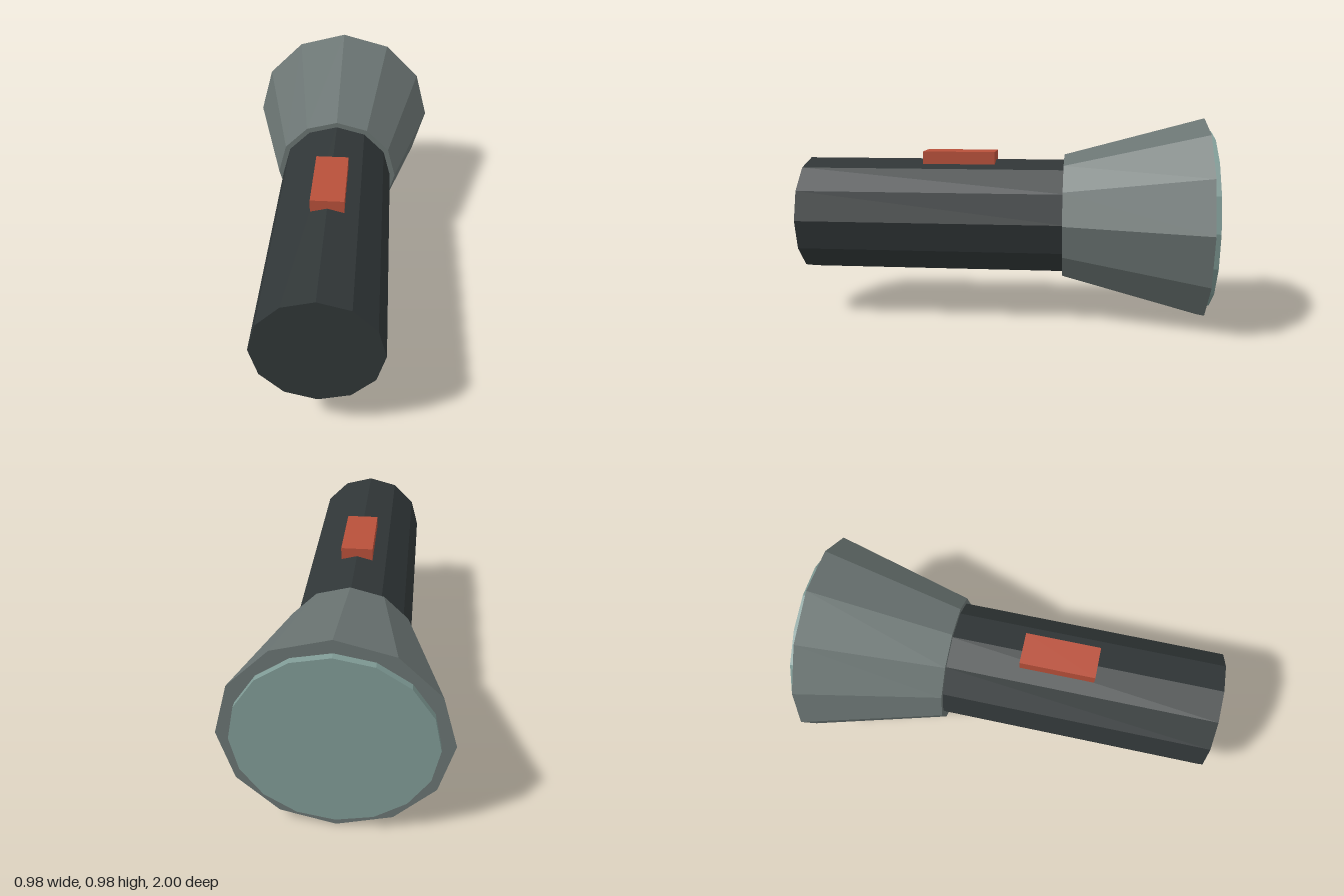
import * as THREE from 'three';

const AXIS_Y = 0.491;

function mat(color) {
  return new THREE.MeshStandardMaterial({ color, flatShading: true });
}

// Prism or cone frustum lying along z, from zFront (towards +z) to zBack
function barrel(name, rFront, rBack, zFront, zBack, sides, color) {
  const geometry = new THREE.CylinderGeometry(rBack, rFront, zFront - zBack, sides);
  geometry.rotateX(-Math.PI / 2);
  const mesh = new THREE.Mesh(geometry, mat(color));
  mesh.name = name;
  mesh.position.set(0, AXIS_Y, (zFront + zBack) / 2);
  return mesh;
}

export function createModel() {
  const group = new THREE.Group();
  group.name = 'flashlight';

  // Handle, flared head and lens share one axis
  group.add(barrel('handle', 0.284, 0.284, 1, -0.32, 12, 0x303637));
  group.add(barrel('head', 0.31, 0.491, -0.295, -0.968, 12, 0x6a7472));
  group.add(barrel('lens', 0.43, 0.43, -0.94, -1, 16, 0x7f9a95));

  // Sliding switch sunk into the top of the handle
  const button = new THREE.Mesh(new THREE.BoxGeometry(0.154, 0.08, 0.358), mat(0xb8503a));
  button.name = 'switch';
  button.position.set(0, 0.776, 0.224);
  group.add(button);

  return group;
}
